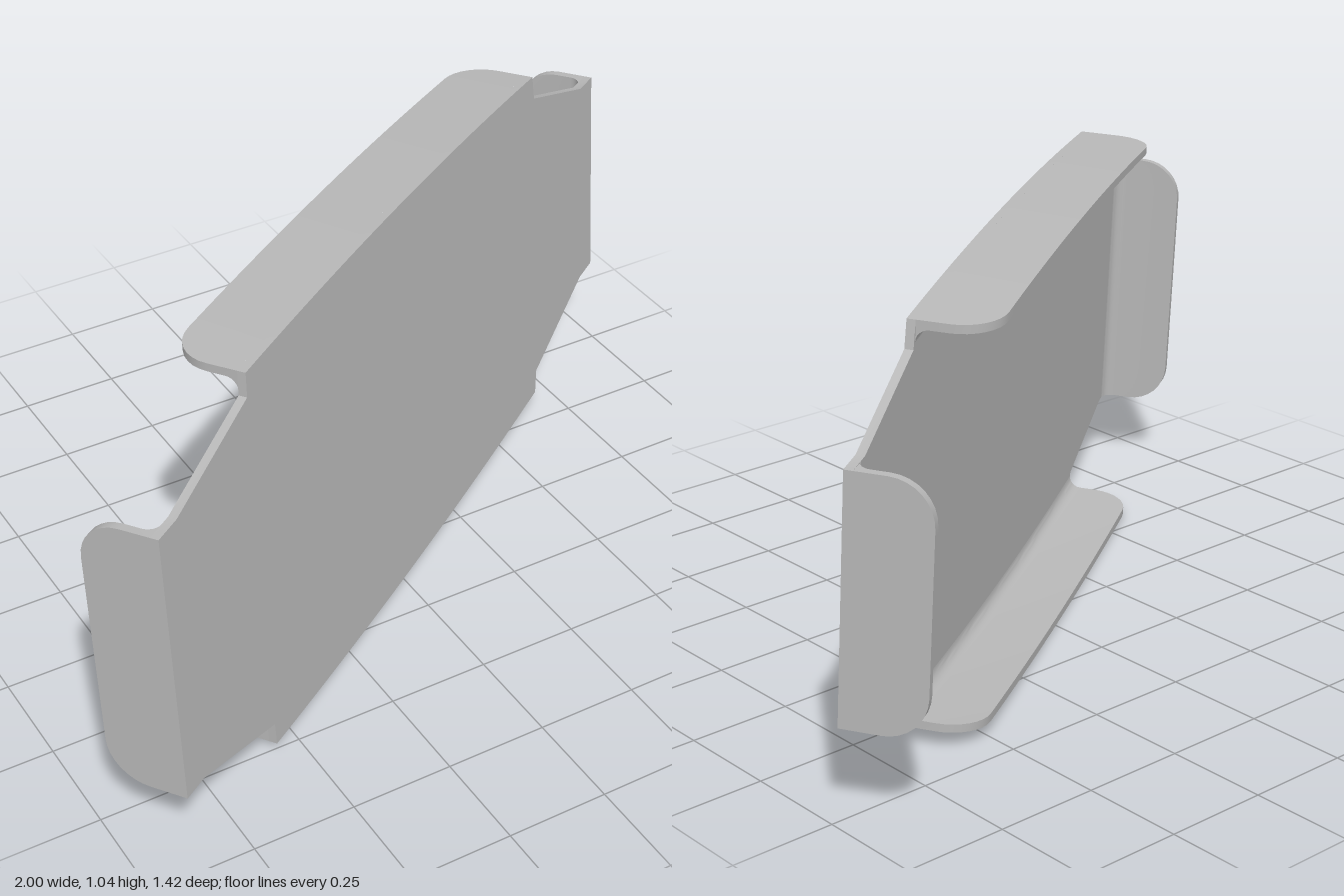
import * as THREE from 'three';
import { toCreasedNormals } from 'three/addons/utils/BufferGeometryUtils.js';

const T = 0.02;       // sheet thickness
const DEPTH = 0.192;  // flange depth measured from the front face
const CORNER = 0.1;   // rounded flange corners
const FILLET = 0.03;  // inner bend radius

// Plate outline: left and right ends, notches, and bowed long edges
const LEFT = -1.065, RIGHT = 1.185;
const bow = (sign) => new THREE.QuadraticBezierCurve(
  new THREE.Vector2(-0.683, 0.506 * sign),
  new THREE.Vector2(0.057, 0.535 * sign),
  new THREE.Vector2(0.797, 0.472 * sign));

function panelGeometry() {
  const upper = [
    [RIGHT, 0.285], [1.11, 0.288], [0.806, 0.408],
    ...bow(1).getPoints(32).reverse().map((p) => [p.x, p.y]),
    [-0.685, 0.446], [-0.993, 0.347], [LEFT, 0.345],
  ];
  const lower = upper.map(([x, y]) => [x, -y]).reverse();
  const shape = new THREE.Shape([...upper, ...lower].map(([x, y]) => new THREE.Vector2(x, y)));
  const geo = new THREE.ExtrudeGeometry(shape, { depth: T, bevelEnabled: false });
  geo.translate(0, 0, -T);
  return toCreasedNormals(geo, 0.4);
}

// Sweeps the bent-lip section along an edge; edges run counterclockwise
function flangeGeometry(edge, inward) {
  const length = edge.getLength();
  const columns = []; // [position along edge 0..1, lip depth there]
  const N = 8;
  for (let i = 0; i <= N; i++) {
    const a = (i / N) * Math.PI / 2;
    columns.push([CORNER * (1 - Math.cos(a)) / length, DEPTH - CORNER + CORNER * Math.sin(a)]);
  }
  const ending = columns.map(([s, d]) => [1 - s, d]).reverse();
  const s0 = columns[N][0];
  for (let i = 1; i < 20; i++) columns.push([s0 + (1 - 2 * s0) * i / 20, DEPTH]);
  columns.push(...ending);

  const positions = [], index = [];
  let count = 0;
  for (const [s, d] of columns) {
    const section = [[0, -T], [0, -d], [T, -d]];
    for (let k = 0; k <= 6; k++) {
      const a = (k / 6) * Math.PI / 2;
      section.push([T + FILLET * (1 - Math.cos(a)), -T - FILLET * (1 - Math.sin(a))]);
    }
    const p = edge.getPoint(s);
    for (const [h, w] of section) positions.push(p.x + inward[0] * h, p.y + inward[1] * h, w);
    count = section.length;
  }
  const last = (columns.length - 1) * count;
  for (let i = 0; i < last; i += count) {
    for (let j = 0; j < count - 1; j++) {
      const a = i + j, b = a + 1, c = a + count, e = c + 1;
      index.push(a, b, c, b, e, c);
    }
  }
  // end caps
  for (let j = 1; j < count - 1; j++) {
    index.push(0, j + 1, j, last, last + j, last + j + 1);
  }
  const geo = new THREE.BufferGeometry();
  geo.setAttribute('position', new THREE.Float32BufferAttribute(positions, 3));
  geo.setIndex(index);
  return toCreasedNormals(geo, 0.5);
}

export function createModel() {
  const metal = new THREE.MeshStandardMaterial({ color: 0xb8b8b8 });
  metal.name = 'grey sheet metal';

  const tray = new THREE.Group();
  tray.name = 'bentSheetTray';
  const add = (name, geo) => {
    const mesh = new THREE.Mesh(geo, metal);
    mesh.name = name;
    tray.add(mesh);
  };

  add('panel', panelGeometry());

  // Long bowed flanges
  const top = bow(1);
  [top.v0, top.v2] = [top.v2, top.v0];
  add('topFlange', flangeGeometry(top, [0, -1]));
  add('bottomFlange', flangeGeometry(bow(-1), [0, 1]));

  // Straight end flanges
  const line = (x, y) => new THREE.LineCurve(new THREE.Vector2(x, -y), new THREE.Vector2(x, y));
  add('rightEndFlange', flangeGeometry(line(LEFT, -0.345), [1, 0]));
  add('leftEndFlange', flangeGeometry(line(RIGHT, 0.285), [-1, 0]));

  // The tray stands turned and leaning slightly back
  tray.rotation.set(-0.05, 0.58, -0.006, 'YXZ');
  tray.position.set(0, 0.525, 0.11);

  const model = new THREE.Group();
  model.name = 'model';
  model.add(tray);
  return model;
}
